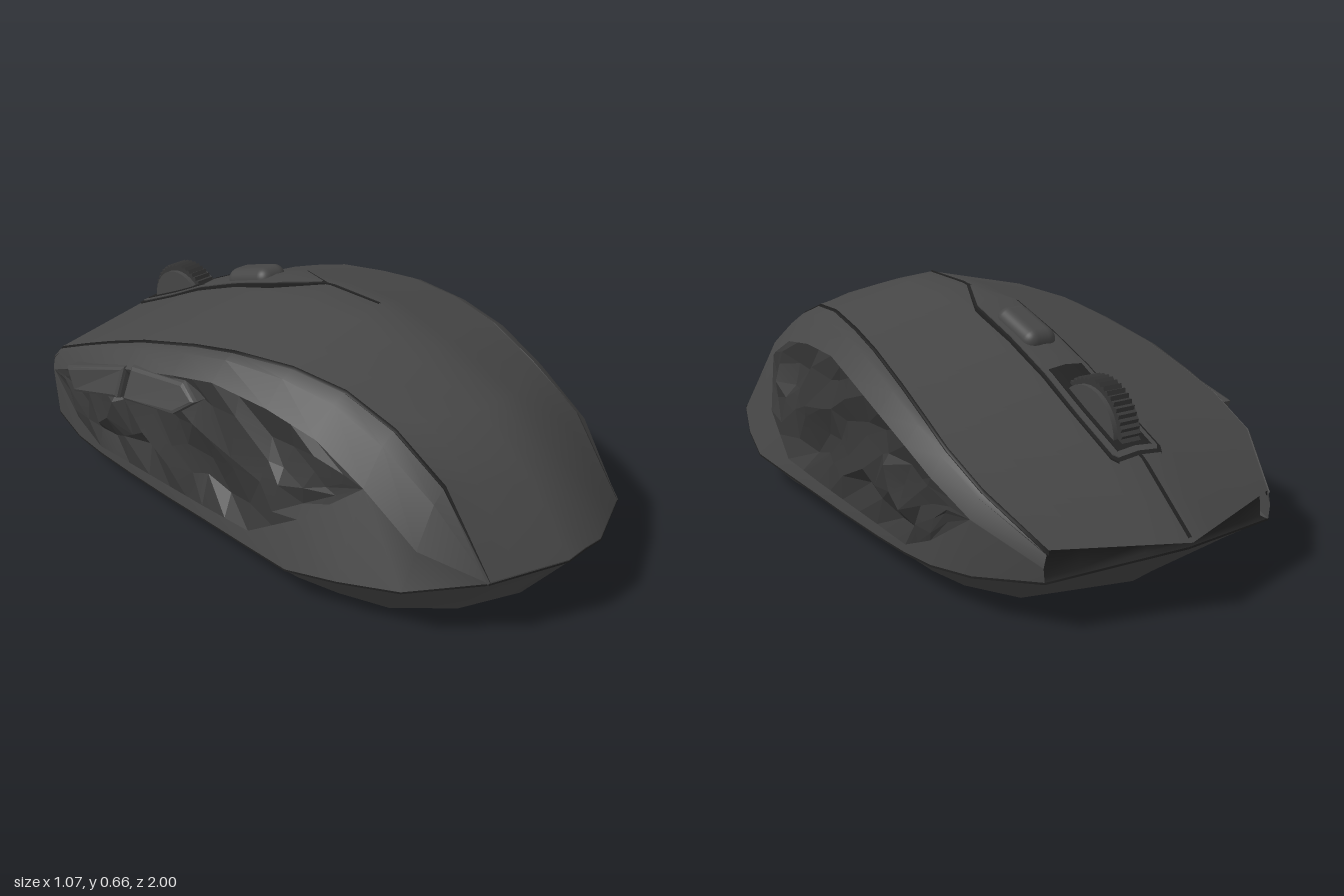
import * as THREE from 'three';
import { toCreasedNormals } from 'three/addons/utils/BufferGeometryUtils.js';
import { RoundedBoxGeometry } from 'three/addons/geometries/RoundedBoxGeometry.js';

const material = (name, color) => {
  const m = new THREE.MeshStandardMaterial({ color, side: THREE.DoubleSide });
  m.name = name;
  return m;
};
const lerp = THREE.MathUtils.lerp;

// Lengthwise stations, nose (-z) to tail (+z):
// ridge z, y | shell edge x, y | grip top x, y | grip bottom y | rim x, y | side z
const STATIONS = [
  [-1, .2, .36, .225, .374, .18, .18, .37, .14, -.89],
  [-.8, .36, .435, .34, .475, .27, .27, .47, .115, -.72],
  [-.6, .45, .445, .405, .497, .335, .165, .5, .095, -.57],
  [-.47, .515, .435, .45, .502, .385, .11, .505, .085, -.45],
  [-.3, .58, .42, .5, .497, .43, .115, .508, .08, -.3],
  [-.12, .635, .39, .545, .478, .475, .12, .513, .08, -.1],
  [.06, .66, .37, .57, .458, .5, .125, .518, .085, .05],
  [.25, .66, .335, .58, .437, .487, .135, .525, .09, .25],
  [.46, .6, .305, .56, .42, .455, .24, .535, .1, .42],
  [.69, .52, .285, .5, .405, .37, .37, .5, .125, .58],
  [.87, .36, .28, .4, .385, .25, .25, .44, .15, .75],
  [1, .2, .28, .185, .284, .182, .182, .284, .18, .91],
];
const FLOOR = .007;

// Named [x, y, z] points down the side of one station
function section([, , ex, ey, tx, ty, by, rx, ry, z]) {
  return {
    edge: [ex, ey, z],
    grooveBottom: [ex - .002, ey - .015, z],
    panelTop: [ex + .009, ey - .006, z],
    shoulder: [lerp(ex, tx, .42), lerp(ey, ty, .25), z],
    gripTop: [tx, ty, z],
    gripBottom: [lerp(tx, rx, (ty - by) / (ty - ry)), by, z],
    rim: [rx, ry, z],
  };
}
const SECTIONS = STATIONS.map(section);

// Height of the ridge at a given z
function ridgeY(z) {
  let i = 0;
  while (i < STATIONS.length - 2 && STATIONS[i + 1][0] < z) i++;
  const [z0, y0] = STATIONS[i], [z1, y1] = STATIONS[i + 1];
  return lerp(y0, y1, (z - z0) / (z1 - z0));
}

// Skin a grid of points given as rows
function loft(rows, closed = false) {
  const n = rows[0].length, index = [];
  for (let r = 0; r < rows.length - 1; r++)
    for (let c = 0; c < (closed ? n : n - 1); c++) {
      const a = r * n + c, b = r * n + (c + 1) % n;
      index.push(a, b, b + n, a, b + n, a + n);
    }
  const g = new THREE.BufferGeometry();
  g.setAttribute('position', new THREE.Float32BufferAttribute(rows.flat(2), 3));
  g.setIndex(index);
  g.computeVertexNormals();
  return g;
}
const creased = (g, angle = .5) => toCreasedNormals(g, angle);

// Roof-like span from edge to edge over a centre point; blunt at the tail, pointed at the nose
const SPAN = [-1, -.72, -.25, 0, .25, .72, 1];
const MID = 3;
function span(cy, cz, ex, ey, ez) {
  const flat = cz > 0 ? .25 : 0;
  return SPAN.map(t => {
    const k = Math.abs(t);
    return [ex * t, lerp(cy, ey, k), lerp(cz, ez, Math.max(0, k - flat) / (1 - flat))];
  });
}

// Thin plate following the ridge; outline points are [z, half width]
function ridgePlate(outline, lift) {
  const rows = [];
  for (let i = 0; i < outline.length - 1; i++)
    for (let k = 0; k <= 6; k++) {
      const z = lerp(outline[i][0], outline[i + 1][0], k / 6);
      const w = lerp(outline[i][1], outline[i + 1][1], k / 6);
      const y = ridgeY(z) + lift;
      rows.push([[-w, y - .03, z], [-w, y - w * .1, z], [0, y, z], [w, y - w * .1, z], [w, y - .03, z]]);
    }
  return creased(loft(rows));
}

// Bulging grip with an irregular faceted floor, from its front tip to its rear tip
function gripGeometry(side) {
  let seed = 7;
  const rand = () => (seed = (seed * 16807) % 2147483647) / 2147483647 - .5;
  const rows = [], first = 1, last = 9, split = 2, bands = 5;
  for (let c = 0; c <= (last - first) * split; c++) {
    const i = first + Math.floor(c / split), f = (c % split) / split;
    const at = key => SECTIONS[i][key].map((v, k) => lerp(v, SECTIONS[Math.min(i + 1, last)][key][k], f));
    const top = at('gripTop'), low = at('gripBottom'), h = top[1] - low[1];
    rows.push(Array.from({ length: bands + 1 }, (_, b) => {
      const v = b / bands;
      const inner = h > .01 && b > 0 && b < bands ? 1 : 0;
      const push = inner * h * (.07 * Math.sin(v * Math.PI) - .07 + rand() * .13);
      return [side * (lerp(top[0], low[0], v) + push),
        lerp(top[1], low[1], v) + inner * rand() * h * .14,
        top[2] + inner * rand() * .05];
    }));
  }
  return creased(loft(rows), .15);
}

export function createModel() {
  const model = new THREE.Group();
  const body = material('charcoal plastic', 0x464646);
  const rubber = material('dark rubber', 0x363636);
  const seam = material('seam black', 0x222222);
  const add = (name, geometry, mat, parent = model) => {
    const mesh = new THREE.Mesh(geometry, mat);
    mesh.name = name;
    parent.add(mesh);
    return mesh;
  };

  // Top shell
  const shellRows = STATIONS.map(s => span(s[1], s[0], s[2], s[3], s[9]));
  add('topShell', loft(shellRows), body);

  // Slit under the nose and strip under the tail, closing the shell down to the rim
  const noseRim = span(.18, -.985, .37, .14, -.89);
  const tailRim = span(.195, 1, .284, .18, .91);
  const setBack = row => row.map(([x, y, z]) => [x, y, z + .03]);
  add('noseSlit', loft([shellRows[0], setBack(shellRows[0]), setBack(noseRim), noseRim]), seam);
  add('tailStrip', loft([shellRows.at(-1), tailRim]), body);

  // Side panels, grooves and grips
  for (const side of [1, -1]) {
    const group = new THREE.Group();
    group.name = side > 0 ? 'leftSide' : 'rightSide';
    model.add(group);
    const strip = (...keys) => loft(keys.map(key => SECTIONS.map(s => {
      const [x, y, z] = s[key];
      return [side * x, y, z];
    })));
    add('sideGroove', strip('edge', 'grooveBottom', 'panelTop'), seam, group);
    add('upperSidePanel', creased(strip('panelTop', 'shoulder', 'gripTop')), body, group);
    add('lowerSidePanel', creased(strip('gripBottom', 'rim')), body, group);
    add('grip', gripGeometry(side), rubber, group);
  }

  // Base: rim loop drawn in to a flat bottom
  const half = [...noseRim.slice(MID, -1), ...SECTIONS.map(s => s.rim),
    ...tailRim.slice(MID, -1).reverse()];
  const rim = [...half, ...half.slice(1, -1).reverse().map(([x, y, z]) => [-x, y, z])];
  const bottom = rim.map(([x, , z]) => [x * .83, FLOOR, z * .82 + .03]);
  const seamRow = dy => rim.map(([x, y, z]) => [x * 1.002, y + dy, z * 1.001]);
  add('base', loft([rim, bottom], true), body);
  add('rimSeam', loft([seamRow(.003), seamRow(-.003)], true), seam);

  // Bottom plate with battery and sensor wells
  const plate = new THREE.Shape(bottom.map(([x, , z]) => new THREE.Vector2(x, z)));
  const wells = [['batteryWell', .42, .26, .27, .11], ['sensorWell', -.32, .14, .13, .05]];
  for (const [name, cz, w, d, h] of wells) {
    const corners = [[-1, -1], [1, -1], [1, 1], [-1, 1]];
    const rect = (k, y) => corners.map(([x, z]) => [x * w * k, y, cz + z * d * k]);
    plate.holes.push(new THREE.Path(rect(1, 0).map(([x, , z]) => new THREE.Vector2(x, z))));
    add(name, creased(loft([rect(1, FLOOR), rect(.92, FLOOR + h), rect(0, FLOOR + h)], true)), body);
  }
  add('bottomPlate', new THREE.ShapeGeometry(plate).rotateX(Math.PI / 2).translate(0, FLOOR, 0), body);
  add('rearFoot', new THREE.BoxGeometry(.22, .009, .09).translate(0, .0045, .745), rubber);

  // Centre console, its outline and the split line between the main buttons
  add('consoleOutline', ridgePlate([[-.79, .07], [-.77, .082], [-.46, .08], [-.12, .075], [.04, .003]], .003), seam);
  add('console', ridgePlate([[-.78, .062], [-.765, .073], [-.47, .072], [-.12, .067], [.02, .003]], .006), body);
  add('wheelSlot', ridgePlate([[-.765, .055], [-.46, .055]], .009), seam);
  add('frontSplit', ridgePlate([[-.99, .005], [-.78, .005]], .003), seam);
  add('rearSplit', ridgePlate([[.03, .004], [.25, .003]], .003), seam);

  // Mode button
  const button = add('modeButton', new RoundedBoxGeometry(.105, .1, .19, 4, .035), body);
  button.position.set(0, ridgeY(-.265) - .019, -.265);
  button.rotation.x = -.3;

  // Toothed scroll wheel with smooth side rings
  const teeth = 48, gear = new THREE.Shape();
  for (let i = 0; i < teeth * 2; i++) {
    const r = i % 2 ? .133 : .142, a = (i / teeth) * Math.PI;
    gear[i ? 'lineTo' : 'moveTo'](r * Math.cos(a), r * Math.sin(a));
  }
  const wheel = new THREE.Group();
  wheel.name = 'scrollWheel';
  wheel.position.set(0, .39, -.61);
  model.add(wheel);
  add('wheelTread', new THREE.ExtrudeGeometry(gear, { depth: .06, bevelEnabled: false })
    .translate(0, 0, -.03).rotateY(Math.PI / 2), rubber, wheel);
  add('wheelCore', new THREE.CylinderGeometry(.122, .122, .088, 32).rotateZ(Math.PI / 2), body, wheel);

  // Two thumb buttons along the top of the right grip, leaning in with height
  const thumbs = [
    ['forwardButton', .535, [[-.56, .36], [-.3, .44], [-.3, .345], [-.53, .28]]],
    ['backButton', .535, [[-.275, .45], [-.05, .475], [.02, .44], [-.05, .385], [-.275, .35]]],
  ];
  for (const [name, outer, pts] of thumbs) {
    const shape = new THREE.Shape(pts.map(p => new THREE.Vector2(...p)));
    const g = new THREE.ExtrudeGeometry(shape,
      { depth: .06, bevelSize: .012, bevelThickness: .012, bevelOffset: -.012, bevelSegments: 2 });
    g.rotateY(-Math.PI / 2).translate(.072 - outer, 0, 0);
    const p = g.attributes.position;
    for (let i = 0; i < p.count; i++) p.setX(i, p.getX(i) + Math.max(0, p.getY(i) - .37) * .5);
    g.computeVertexNormals();
    add(name, g, body);
  }
  return model;
}
